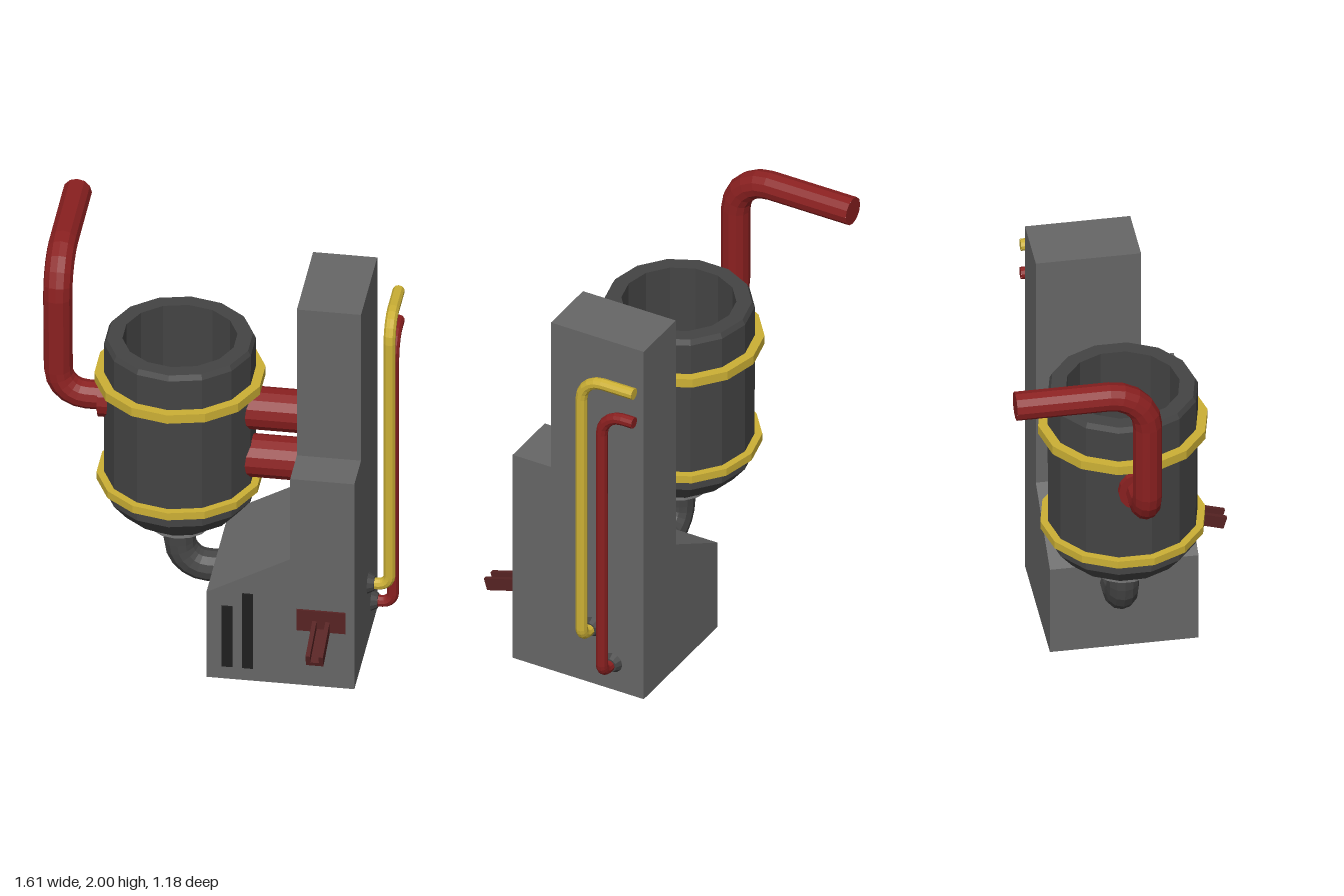
import * as THREE from 'three';

const paint = (color, side = THREE.FrontSide) =>
  new THREE.MeshStandardMaterial({ color, flatShading: true, side });
const casing = paint(0x666666), iron = paint(0x444444), ironOpen = paint(0x444444, THREE.DoubleSide);
const steel = paint(0x777777), red = paint(0x8a2020), yellow = paint(0xccb035);
const black = paint(0x1e1e1e), rust = paint(0x572323);
const V = (x, y, z) => new THREE.Vector3(x, y, z);

// Polyline sampled exactly at its own points, so straight runs stay simple
class Polyline extends THREE.Curve {
  constructor(points) { super(); this.points = points; }
  getPointAt(u, target = new THREE.Vector3()) {
    return target.copy(this.points[Math.round(u * (this.points.length - 1))]);
  }
  getTangentAt(u, target = new THREE.Vector3()) {
    const p = this.points, n = p.length - 1, i = Math.round(u * n);
    const a = p[Math.max(i - 1, 0)], b = p[i], c = p[Math.min(i + 1, n)];
    return target.copy(b).sub(a).normalize().add(c.clone().sub(b).normalize()).normalize();
  }
}

export function createModel() {
  const root = new THREE.Group();

  function add(name, geometry, material, x = 0, y = 0, z = 0, parent = root) {
    const mesh = new THREE.Mesh(geometry, material);
    mesh.name = name;
    mesh.position.set(x, y, z);
    parent.add(mesh);
    return mesh;
  }

  // Box given by its minimum and maximum corners
  function box(name, material, [x0, y0, z0], [x1, y1, z1]) {
    return add(name, new THREE.BoxGeometry(x1 - x0, y1 - y0, z1 - z0), material,
      (x0 + x1) / 2, (y0 + y1) / 2, (z0 + z1) / 2);
  }

  // Capped pipe through corner points, each corner rounded by its bend radius
  function pipe(name, material, radius, corners, bends, sides = 10) {
    const pts = [corners[0]];
    bends.forEach((bend, k) => {
      const c = corners[k + 1];
      const from = corners[k].clone().sub(c).normalize();
      const to = corners[k + 2].clone().sub(c).normalize();
      const centre = c.clone().addScaledVector(from, bend).addScaledVector(to, bend);
      for (let i = 0; i <= 5; i++) {
        const a = i / 5 * Math.PI / 2;
        pts.push(centre.clone().addScaledVector(to, -bend * Math.cos(a))
          .addScaledVector(from, -bend * Math.sin(a)));
      }
    });
    pts.push(corners.at(-1));
    const group = new THREE.Group();
    group.name = name;
    root.add(group);
    const curve = new Polyline(pts);
    add(name + 'Wall', new THREE.TubeGeometry(curve, pts.length - 1, radius, sides), material, 0, 0, 0, group);
    for (const u of [0, 1]) {
      const p = curve.getPointAt(u), t = curve.getTangentAt(u).multiplyScalar(u ? 1 : -1);
      const cap = add(name + 'Cap', new THREE.CircleGeometry(radius, sides), material, p.x, p.y, p.z, group);
      cap.quaternion.setFromUnitVectors(V(0, 0, 1), t);
    }
  }

  // Cylinder lying along x from x0 to x1
  function sideways(name, material, r0, r1, x0, x1, y, z, sides = 14) {
    add(name, new THREE.CylinderGeometry(r0, r1, x1 - x0, sides), material, (x0 + x1) / 2, y, z)
      .rotation.z = -Math.PI / 2;
  }

  const lathe = (profile, sides) =>
    new THREE.LatheGeometry(profile.map(([r, y]) => new THREE.Vector2(r, y)), sides);

  // Cabinet with a sloped shoulder, and the tower on top
  const outline = new THREE.Shape([[0, 0], [0.68, 0], [0.68, 1.11], [0.385, 1.11], [0.385, 0.675], [0, 0.46]]
    .map(([x, y]) => new THREE.Vector2(x, y)));
  add('cabinet', new THREE.ExtrudeGeometry(outline, { depth: 0.685, bevelEnabled: false }), casing, 0, 0, -0.305);
  box('tower', casing, [0.385, 1.11, -0.305], [0.68, 1.9, 0.18]);

  // Vent slots
  box('ventSlotShort', black, [0.07, 0.07, 0.37], [0.12, 0.395, 0.39]);
  box('ventSlotTall', black, [0.165, 0.07, 0.37], [0.215, 0.47, 0.39]);

  // Spout: back plate and a sloping channel
  box('spoutPlate', rust, [0.415, 0.3, 0.37], [0.64, 0.41, 0.39]);
  const channel = new THREE.Shape([[-0.04, -0.03], [0.04, -0.03], [0.04, 0.03], [0.02, 0.03],
    [0.02, -0.01], [-0.02, -0.01], [-0.02, 0.03], [-0.04, 0.03]].map(([x, y]) => new THREE.Vector2(x, y)));
  add('spoutChannel', new THREE.ExtrudeGeometry(channel, { depth: 0.225, bevelEnabled: false }),
    rust, 0.528, 0.332, 0.37).rotation.x = 0.29;

  // Open vessel with a rounded base and a hollow inside
  const cx = -0.18;
  add('vessel', lathe([[0, 0.625], [0.19, 0.625], [0.28, 0.69], [0.345, 0.77], [0.346, 1.56], [0.333, 1.585],
    [0.262, 1.585], [0.262, 0.85], [0, 0.85]], 14), ironOpen, cx);

  // Yellow hoops
  for (const [name, r, y0, y1] of [['upperHoop', 0.39, 1.36, 1.405], ['lowerHoop', 0.38, 0.83, 0.868]])
    add(name, lathe([[0.335, y0], [r, y0], [r, y1], [0.335, y1]], 14), yellow, cx);

  // Drain under the vessel
  add('drainFlange', new THREE.CylinderGeometry(0.145, 0.145, 0.05, 14), steel, cx, 0.605, 0);
  pipe('drainPipe', iron, 0.075, [V(cx, 0.62, 0), V(cx, 0.36, 0), V(0.05, 0.36, 0)], [0.13], 12);

  // Feed pipes between vessel and tower
  for (const y of [0.987, 1.245]) sideways('feedPipe', red, 0.1, 0.1, 0.1, 0.4, y, 0.02);

  // Exhaust pipe with its flange
  sideways('exhaustFlange', red, 0.1, 0.1, -0.545, -0.48, 1.245, 0.02);
  pipe('exhaustPipe', red, 0.067, [V(-0.5, 1.243, 0.02), V(-0.735, 1.243, 0.02),
    V(-0.74, 1.935, 0.02), V(-0.742, 1.935, -0.59)], [0.13, 0.18], 12);

  // Thin side pipes with their collars
  for (const [name, mat, y, top, z] of [['yellowSidePipe', yellow, 0.31, 1.728, -0.036],
    ['redSidePipe', red, 0.148, 1.57, -0.142]]) {
    sideways(name + 'Collar', iron, 0.035, 0.053, 0.675, 0.71, y, z, 12);
    pipe(name, mat, 0.028, [V(0.67, y, z), V(0.778, y, z), V(0.778, top, z), V(0.778, top, -0.31)], [0.05, 0.11]);
  }

  return root;
}
